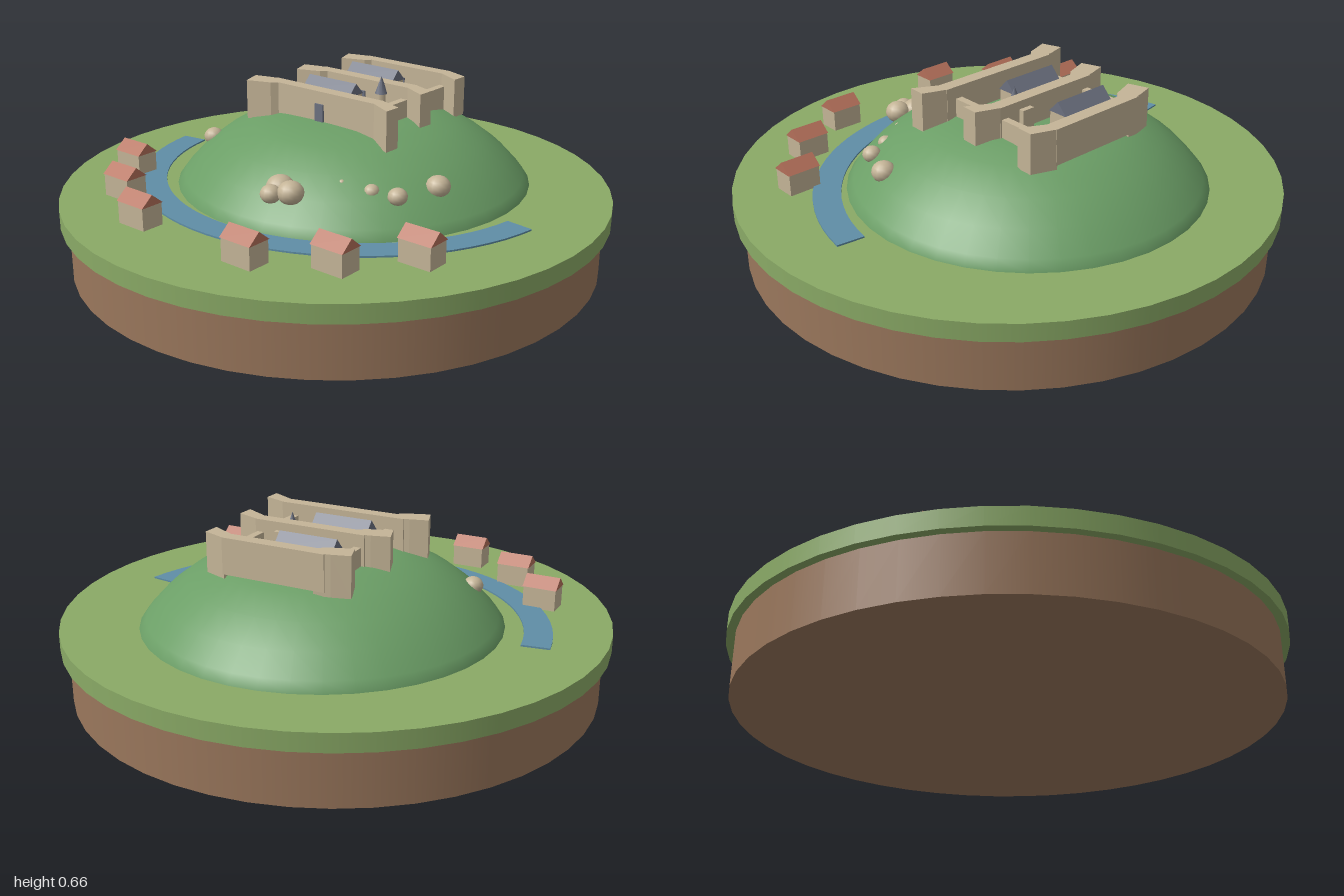
import * as THREE from 'three';

const mat = (name, color) => {
  const m = new THREE.MeshStandardMaterial({ color });
  m.name = name;
  return m;
};

export function createModel() {
  const grass = mat('grass', 0x8aaa66), hillGreen = mat('hill green', 0x6b9e66);
  const soil = mat('soil', 0x9a775c), water = mat('water', 0x5f8ea6);
  const stone = mat('stone', 0xc4b497), tile = mat('roof tile', 0xb5705a);
  const slate = mat('slate', 0x6c7180);
  const TILT = -20 * Math.PI / 180; // shared heading of castle and houses
  const GROUND = 0.265;

  const root = new THREE.Group();
  root.name = 'hillFortress';
  const add = (parent, name, geo, material, x = 0, y = 0, z = 0) => {
    const m = new THREE.Mesh(geo, material);
    m.name = name;
    m.position.set(x, y, z);
    parent.add(m);
    return m;
  };
  // upright prism from a plan outline of [x, z] points
  const plan = (pts, height) => {
    const shape = new THREE.Shape(pts.map(([x, z]) => new THREE.Vector2(x, -z)));
    return new THREE.ExtrudeGeometry(shape, { depth: height, bevelEnabled: false }).rotateX(-Math.PI / 2);
  };
  // box walls with a gabled roof, ridge along x
  const building = (parent, name, x, y, z, len, wid, wallH, roofH, roofMat) => {
    const g = new THREE.Group();
    g.name = name;
    g.position.set(x, y, z);
    add(g, 'walls', new THREE.BoxGeometry(len, wallH, wid), stone, 0, wallH / 2, 0);
    const w = wid / 2 + 0.003, l = len + 0.006;
    const gable = new THREE.Shape([[-w, 0], [w, 0], [0, roofH]].map(p => new THREE.Vector2(...p)));
    const roof = new THREE.ExtrudeGeometry(gable, { depth: l, bevelEnabled: false });
    roof.translate(0, 0, -l / 2).rotateY(Math.PI / 2);
    add(g, 'roof', roof, roofMat, 0, wallH, 0);
    parent.add(g);
    return g;
  };

  // round base
  add(root, 'soilBase', new THREE.CylinderGeometry(0.97, 0.97, 0.2, 48), soil, 0, 0.1, 0);
  add(root, 'grassDisc', new THREE.CylinderGeometry(1, 1, GROUND - 0.2, 48), grass, 0, (GROUND + 0.2) / 2, 0);

  // domed hill, steepening at the foot
  const profile = [[0.665, 0.21], [0.655, 0.265], [0.63, 0.298], [0.565, 0.368], [0.48, 0.433],
    [0.375, 0.49], [0.26, 0.517], [0.13, 0.525], [0, 0.527]].map(p => new THREE.Vector2(...p));
  add(root, 'hill', new THREE.LatheGeometry(profile, 40), hillGreen, 0.035, 0, -0.1);

  // river curving round the hill
  const river = [];
  const N = 36, A0 = 27 * Math.PI / 180, A1 = 191 * Math.PI / 180;
  for (let side = 0; side < 2; side++) {
    for (let i = 0; i <= N; i++) {
      const a = A0 + (A1 - A0) * (side ? N - i : i) / N, inset = side * 0.1;
      river.push([0.035 + (0.82 - inset) * Math.cos(a), -0.14 + (0.8 - inset) * Math.sin(a)]);
    }
  }
  add(root, 'river', plan(river, 0.007), water, 0, GROUND - 0.001, 0);

  // village houses
  const houses = [[-0.755, 0.135], [-0.66, 0.385], [-0.48, 0.6], [-0.025, 0.765], [0.255, 0.72], [0.49, 0.585]];
  for (const [x, z] of houses) {
    building(root, 'house', x, GROUND, z, 0.122, 0.084, 0.08, 0.038, tile).rotation.y = TILT;
  }

  // boulders on the slope: x, y, z, radius
  const boulders = [[-0.5, 0.385, -0.015, 0.037], [-0.045, 0.388, 0.425, 0.05], [-0.055, 0.385, 0.485, 0.036],
    [0.01, 0.392, 0.47, 0.046], [0.155, 0.413, 0.375, 0.012], [0.255, 0.39, 0.365, 0.028],
    [0.345, 0.383, 0.365, 0.034], [0.45, 0.39, 0.245, 0.043]];
  for (const [x, y, z, r] of boulders) {
    add(root, 'boulder', new THREE.SphereGeometry(r, 14, 10), stone, x, y, z).scale.y = 0.88;
  }

  // castle, built square in its own frame and then turned
  const castle = new THREE.Group();
  castle.name = 'castle';
  castle.rotation.y = TILT;
  root.add(castle);
  const TOP = 0.63, FOOT = 0.485;

  // three parallel walls with flared end bastions and a door each
  for (const [z, half] of [[0.065, 0.333], [-0.175, 0.3], [-0.42, 0.28]]) {
    add(castle, 'curtainWall', new THREE.BoxGeometry(half * 2 - 0.17, TOP - 0.5, 0.05), stone, 0, (TOP + 0.5) / 2, z);
    const h = half;
    const right = [[h, 0.007], [h - 0.002, 0.07], [h - 0.09, 0.025], [h - 0.09, -0.025]];
    const left = [[-h, 0.002], [0.025 - h, 0.076], [0.115 - h, 0.045], [0.135 - h, 0.025],
      [0.125 - h, -0.025], [0.065 - h, -0.016]];
    for (const outline of [left, right]) add(castle, 'bastion', plan(outline, TOP - FOOT), stone, 0, FOOT, z);
    add(castle, 'door', new THREE.BoxGeometry(0.038, 0.065, 0.008), slate, 0, 0.552, z + 0.027);
  }

  // lower side walls joining them
  for (const x of [-0.19, 0.195]) {
    add(castle, 'sideWall', new THREE.BoxGeometry(0.028, 0.095, 0.46), stone, x, 0.5375, -0.175);
  }

  // two halls, a small lodge and a spire in the courts
  for (const z of [-0.305, -0.052]) {
    building(castle, 'hall', -0.058, 0.5, z, 0.215, 0.075, 0.095, 0.043, slate);
  }
  add(castle, 'lodge', new THREE.BoxGeometry(0.05, 0.1, 0.04), stone, 0.105, 0.55, -0.2);
  add(castle, 'turret', new THREE.CylinderGeometry(0.017, 0.017, 0.09, 8), stone, 0.098, 0.55, -0.142);
  add(castle, 'spire', new THREE.ConeGeometry(0.024, 0.065, 8), slate, 0.098, 0.624, -0.142);

  return root;
}
